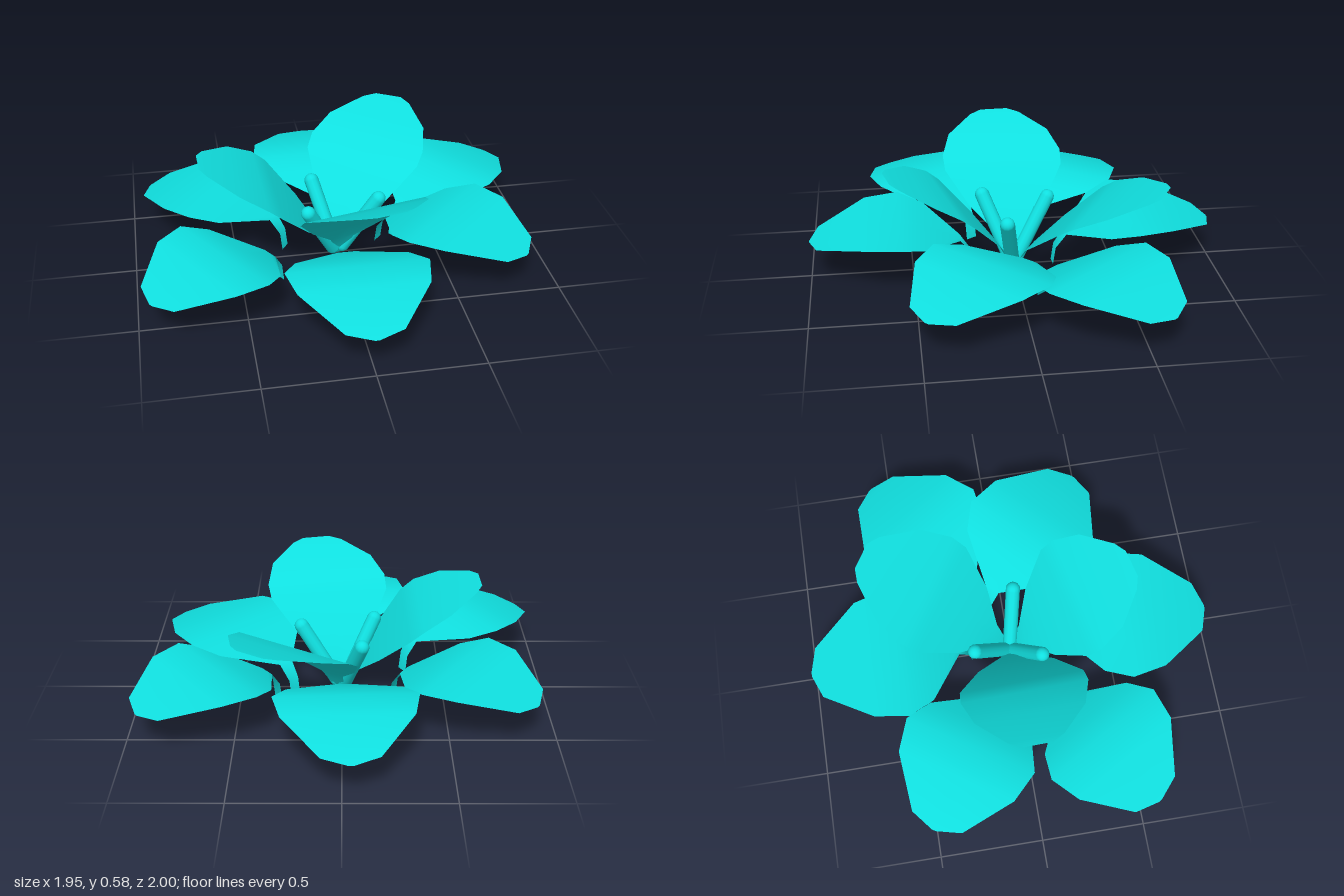
import * as THREE from 'three';

const petalMat = new THREE.MeshStandardMaterial({ color: 0x10e0e0, side: THREE.DoubleSide });
petalMat.name = 'cyan petal';

// Petal rows: [distance from base (0..1 of length), height, half width]
const OUTER = [
  [0, 0, 0.03], [0.015, 0.09, 0.03], [0.08, 0.165, 0.04], [0.29, 0.24, 0.27], [0.45, 0.278, 0.335],
  [0.66, 0.272, 0.3], [0.95, 0.205, 0.13], [1, 0.19, 0.01],
];
const INNER = [
  [0.03, 0.01, 0.03], [0.12, 0.13, 0.06], [0.26, 0.25, 0.19], [0.46, 0.4, 0.3], [0.56, 0.455, 0.305],
  [0.75, 0.52, 0.26], [0.95, 0.574, 0.13], [1, 0.585, 0.07],
];

// Thin sheet lofted from base to tip; the base and tip are [x, z]
function petal(name, rows, base, tip, heightScale = 1) {
  const dx = tip[0] - base[0], dz = tip[1] - base[1];
  const len = Math.hypot(dx, dz);
  const sx = dz / len, sz = -dx / len;
  const pos = [], idx = [], cols = 3;
  rows.forEach(([t, y, w], i) => {
    for (let j = 0; j < cols; j++) {
      const s = (j - 1) * w;
      pos.push(base[0] + dx * t + sx * s, y * heightScale, base[1] + dz * t + sz * s);
      if (i && j) {
        const d = i * cols + j, c = d - 1, b = d - cols, a = b - 1;
        idx.push(a, b, d, a, d, c);
      }
    }
  });
  const geo = new THREE.BufferGeometry();
  geo.setAttribute('position', new THREE.Float32BufferAttribute(pos, 3));
  geo.setIndex(idx);
  geo.computeVertexNormals();
  const mesh = new THREE.Mesh(geo, petalMat);
  mesh.name = name;
  return mesh;
}

// Rounded rod leaning outwards from the centre
function stamen(name, tip) {
  const top = new THREE.Vector3(...tip);
  const bottom = new THREE.Vector3(tip[0] * 0.14, 0.045, tip[2] * 0.14);
  const axis = top.clone().sub(bottom);
  const mesh = new THREE.Mesh(new THREE.CapsuleGeometry(0.036, axis.length(), 5, 12), petalMat);
  mesh.position.copy(top).add(bottom).multiplyScalar(0.5);
  mesh.quaternion.setFromUnitVectors(new THREE.Vector3(0, 1, 0), axis.normalize());
  mesh.name = name;
  return mesh;
}

export function createModel() {
  const flower = new THREE.Group();
  flower.name = 'flower';

  // Six drooping outer petals on narrow stalks
  const outer = {
    Back: [[0, -0.2], [-0.04, -1]],
    Front: [[0, 0.2], [0, 1]],
    RightBack: [[-0.25, -0.09], [-0.9, -0.51]],
    RightFront: [[-0.31, 0.18], [-0.935, 0.576]],
    LeftBack: [[0.315, -0.1], [0.93, -0.59]],
    LeftFront: [[0.23, -0.09], [0.835, 0.475]],
  };
  for (const [k, [b, t]] of Object.entries(outer)) flower.add(petal('outerPetal' + k, OUTER, b, t));

  // Three raised inner petals
  flower.add(
    petal('innerPetalRight', INNER, [0, 0], [-0.667, 0.02]),
    petal('innerPetalFront', INNER, [0, 0], [0.14, 0.615], 0.965),
    petal('innerPetalLeft', INNER, [0, 0], [0.4, -0.66], 0.915),
  );

  // Three stamens
  flower.add(
    stamen('stamenBack', [-0.095, 0.32, -0.185]),
    stamen('stamenLeft', [0.2, 0.32, 0.05]),
    stamen('stamenRight', [-0.16, 0.32, 0.135]),
  );
  return flower;
}
